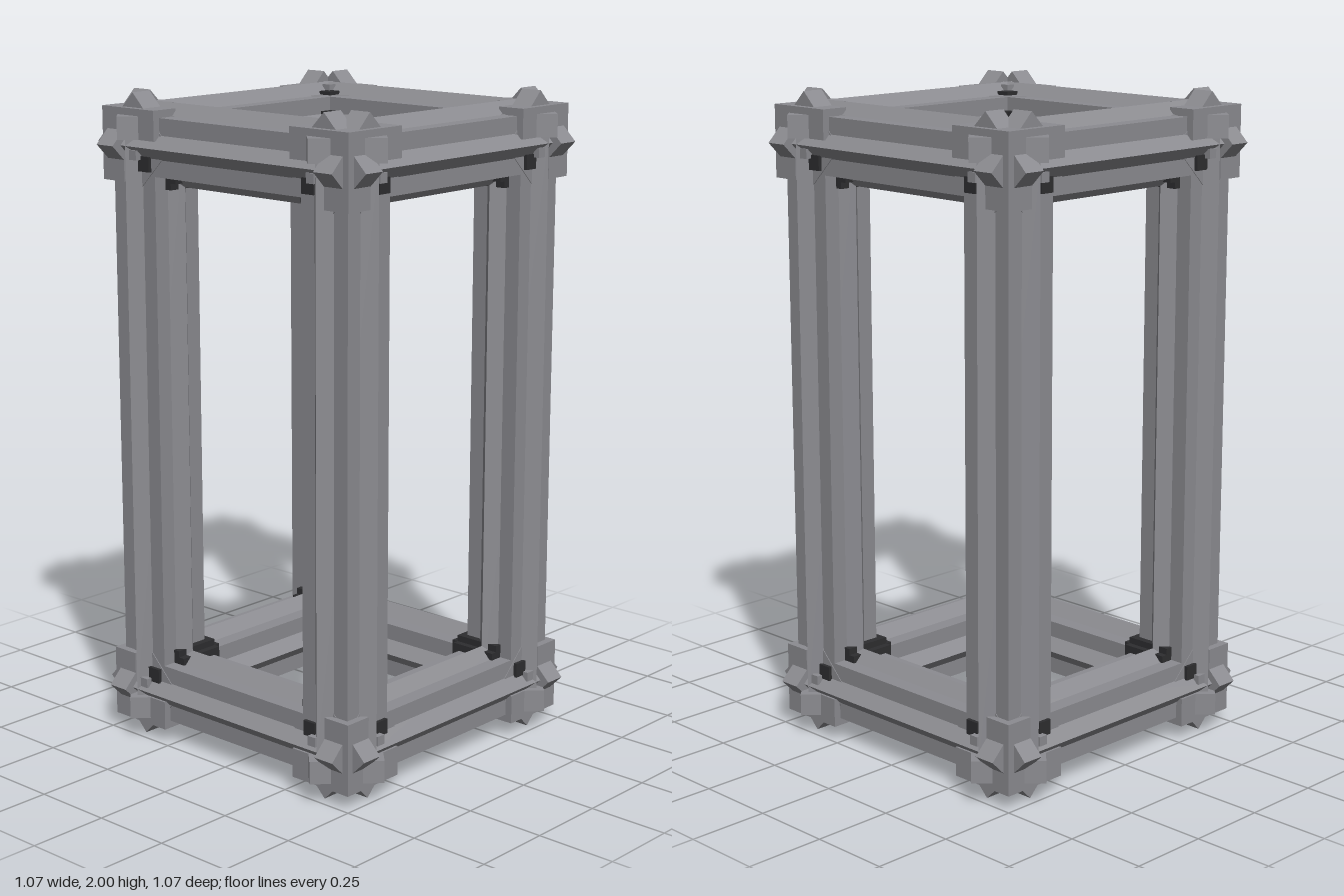
import * as THREE from 'three';

const HALF = [0.38, 0.846, 0.38]; // beam centre lines, measured from the frame centre
const BEAM = 0.174;               // side of each square bar in a beam

export function createModel() {
  const grey = new THREE.MeshStandardMaterial({ color: 0x8c8c91 });
  grey.name = 'grey';
  const dark = new THREE.MeshStandardMaterial({ color: 0x2e2e30 });
  dark.name = 'dark';

  const model = new THREE.Group();
  model.name = 'frame';

  function addBox(parent, name, size, pos, material, axis = null) {
    const mesh = new THREE.Mesh(new THREE.BoxGeometry(...size), material);
    mesh.name = name;
    mesh.position.set(...pos);
    if (axis !== null) mesh.rotation[axis] = Math.PI / 4;
    parent.add(mesh);
  }

  // Twelve beams: two square bars crossed at 45 degrees give an eight-pointed star section
  const axes = ['x', 'y', 'z'];
  for (let a = 0; a < 3; a++) {
    const b = (a + 1) % 3, c = (a + 2) % 3;
    for (const sb of [-1, 1]) for (const sc of [-1, 1]) {
      const beam = new THREE.Group();
      beam.name = a === 1 ? 'post' : 'rail';
      const size = [BEAM, BEAM, BEAM];
      size[a] = 2 * (HALF[a] + 0.03);
      const pos = [0, 0, 0];
      pos[b] = sb * HALF[b];
      pos[c] = sc * HALF[c];
      addBox(beam, 'squareBar', size, pos, grey);
      addBox(beam, 'diamondBar', size, pos, grey, axes[a]);
      model.add(beam);
    }
  }

  // Eight corner joints; ranges run along outward axes from the crossing of the beams
  for (const sx of [-1, 1]) for (const sy of [-1, 1]) for (const sz of [-1, 1]) {
    const sign = [sx, sy, sz];
    const joint = new THREE.Group();
    joint.name = 'cornerJoint';
    joint.position.set(...sign.map((s, i) => s * HALF[i]));
    model.add(joint);

    const block = (name, ranges, material, axis = null) => addBox(joint, name,
      ranges.map(([lo, hi]) => hi - lo),
      ranges.map(([lo, hi], i) => sign[i] * (lo + hi) / 2), material, axis);

    // Ranges with one value on axis a and another on the other two
    const along = (a, main, side) => [0, 1, 2].map(i => (i === a ? main : side));

    for (let a = 0; a < 3; a++) {
      // Outer knobs: a diamond plate and a long block for each axis
      block('diamondPlate', along(a, [0.02, 0.089], [-0.109, 0.109]), grey, axes[a]);
      block('outerBlock', along(a, [-0.109, 0.109], [0.02, 0.11]), grey);
      // Small pegs through the inner corner
      block('darkPeg', along(a, [-0.1, 0.1], [-0.074, -0.029]), dark);
      block('lightPeg', along(a, [-0.06, 0.118], [-0.04, -0.011]), grey);
      // Dark stepped bracket inside the corner
      for (const b of [(a + 1) % 3, (a + 2) % 3]) {
        const ranges = along(a, [-0.109, 0.045], [-0.109, 0]);
        ranges[b] = [-0.129, 0];
        block('innerBracket', ranges, dark);
      }
    }
  }

  model.position.y = 1;
  const root = new THREE.Group();
  root.name = 'openFrame';
  root.add(model);
  return root;
}
